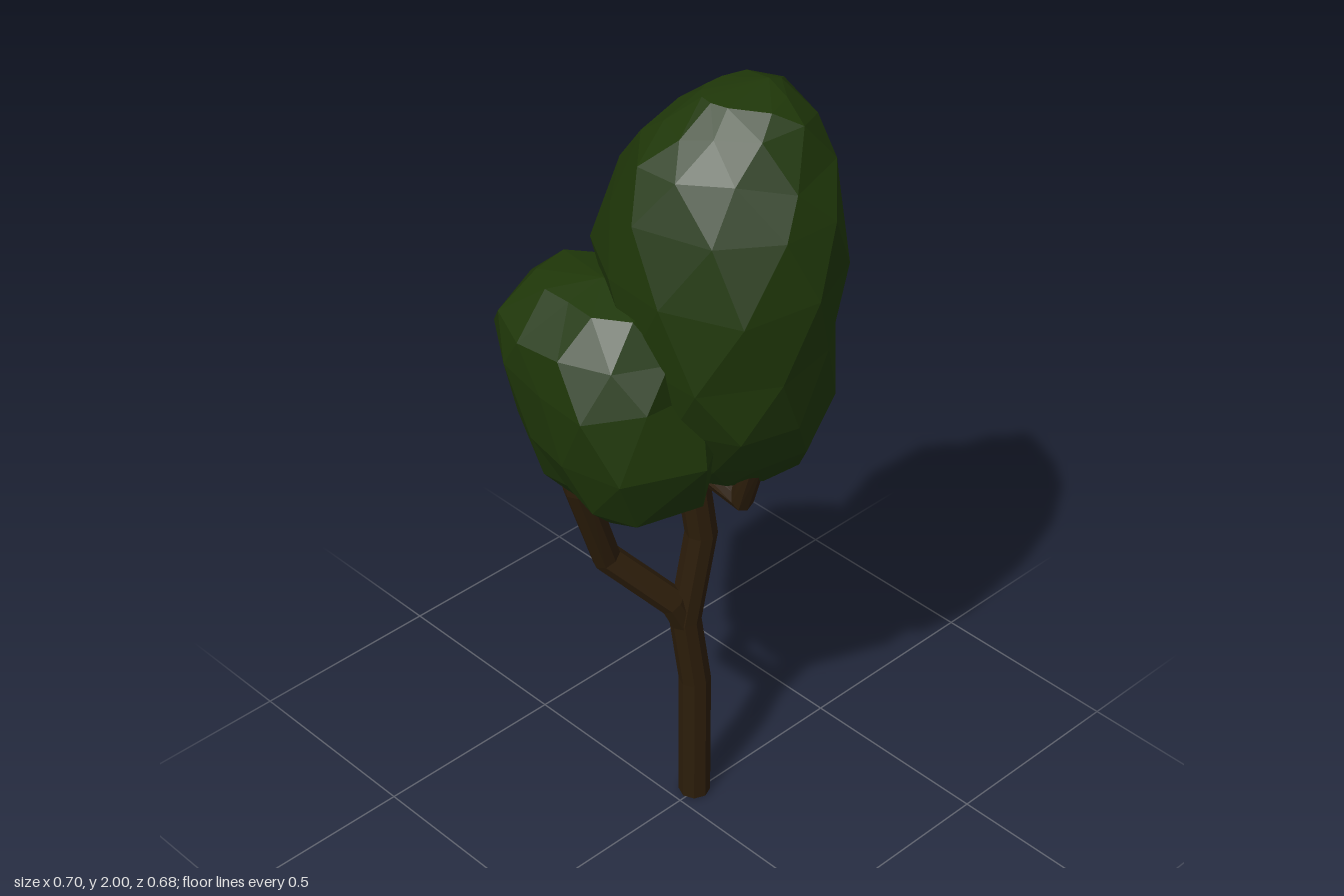
import * as THREE from 'three';

const bark = new THREE.MeshStandardMaterial({ color: 0x2c1d0a });
bark.name = 'bark';
const leaf = new THREE.MeshStandardMaterial({ color: 0x1f3709 });
leaf.name = 'leaf';

// Small seeded generator, returns -1..1
function seeded(seed) {
  let s = seed;
  return () => {
    s = (s * 16807) % 2147483647;
    return (s / 2147483647) * 2 - 1;
  };
}

// Straight-sided path through a few points
class Polyline extends THREE.Curve {
  constructor(points) {
    super();
    this.points = points.map((p) => new THREE.Vector3(...p));
  }
  getPoint(t, target = new THREE.Vector3()) {
    const n = this.points.length - 1;
    const i = Math.min(Math.floor(t * n), n - 1);
    return target.lerpVectors(this.points[i], this.points[i + 1], t * n - i);
  }
  getPointAt(t, target) { return this.getPoint(t, target); }
  getTangentAt(t, target) { return this.getTangent(t, target); }
}

function flat(geometry) {
  const g = geometry.index ? geometry.toNonIndexed() : geometry;
  g.computeVertexNormals();
  return g;
}

function limb(name, points, radius) {
  const geo = new THREE.TubeGeometry(new Polyline(points), points.length - 1, radius, 8, false);
  const mesh = new THREE.Mesh(flat(geo), bark);
  mesh.name = name;
  return mesh;
}

// Faceted leaf mass around an upright axis. Each row is a height and eight radii,
// 45 degrees apart from +x towards +z; bottom and top are the closing points.
function crown(name, [cx, cz], bottom, rows, top, sides, seed) {
  const rand = seeded(seed);
  const rings = rows.map(([y, ...radii], i) => {
    const inner = i > 0 && i < rows.length - 1;
    return Array.from({ length: sides }, (_, j) => {
      const turn = (j + i * 0.5 + rand() * 0.12) / sides + 1;
      const u = turn * 8;
      const k = Math.floor(u);
      const r = THREE.MathUtils.lerp(radii[k % 8], radii[(k + 1) % 8], u - k) * (1.025 + rand() * 0.02);
      const a = turn * Math.PI * 2;
      return [cx + r * Math.cos(a), y + (inner ? rand() * 0.02 : 0), cz + r * Math.sin(a)];
    });
  });
  const pos = [];
  const last = rings.length - 1;
  for (let j = 0; j < sides; j++) {
    const k = (j + 1) % sides;
    pos.push(...bottom, ...rings[0][j], ...rings[0][k]);
    for (let i = 0; i < last; i++) {
      const a = rings[i][j], b = rings[i][k], c = rings[i + 1][k], d = rings[i + 1][j];
      pos.push(...a, ...d, ...b, ...b, ...d, ...c);
    }
    pos.push(...top, ...rings[last][k], ...rings[last][j]);
  }
  const geo = new THREE.BufferGeometry();
  geo.setAttribute('position', new THREE.Float32BufferAttribute(pos, 3));
  const mesh = new THREE.Mesh(flat(geo), leaf);
  mesh.name = name;
  return mesh;
}

export function createModel() {
  const tree = new THREE.Group();
  tree.name = 'tree';

  // Trunk with two bends, and its base cap
  tree.add(limb('trunk', [
    [-0.008, 0, -0.057], [-0.008, 0.36, -0.057], [-0.02, 0.55, -0.036],
    [0, 0.8, -0.068], [-0.012, 1.0, -0.045], [-0.01, 1.25, -0.04],
  ], 0.039));
  const base = new THREE.Mesh(new THREE.CircleGeometry(0.039, 8), bark);
  base.rotation.x = Math.PI / 2;
  base.position.set(-0.008, 0.001, -0.057);
  base.name = 'trunkBase';
  tree.add(base);

  // Branches
  tree.add(limb('frontBranch', [
    [-0.018, 0.53, -0.04], [-0.03, 0.61, -0.005], [-0.13, 0.75, 0.112],
    [-0.122, 1.0, 0.2], [-0.12, 1.12, 0.21],
  ], 0.036));
  tree.add(limb('sideBranch', [
    [-0.01, 1.02, -0.045], [0.16, 1.0, -0.04], [0.195, 1.14, -0.04],
  ], 0.033));

  // Leaves
  tree.add(crown('tallCrown', [0.07, -0.06], [0.07, 1.04, -0.08], [
    [1.05, 0.12, 0.1, 0.1, 0.11, 0.11, 0.1, 0.14, 0.18],
    [1.13, 0.2, 0.16, 0.16, 0.16, 0.16, 0.19, 0.21, 0.24],
    [1.25, 0.24, 0.25, 0.21, 0.2, 0.18, 0.215, 0.29, 0.245],
    [1.42, 0.26, 0.275, 0.255, 0.22, 0.2, 0.205, 0.225, 0.255],
    [1.6, 0.28, 0.28, 0.26, 0.29, 0.27, 0.24, 0.225, 0.262],
    [1.76, 0.265, 0.23, 0.245, 0.23, 0.25, 0.21, 0.21, 0.262],
    [1.86, 0.23, 0.165, 0.205, 0.18, 0.16, 0.155, 0.215, 0.24],
    [1.94, 0.18, 0.11, 0.13, 0.12, 0.1, 0.12, 0.18, 0.19],
    [1.985, 0.13, 0.06, 0.05, 0.05, 0.05, 0.07, 0.13, 0.13],
  ], [0.11, 2, -0.15], 10, 71));
  tree.add(crown('lowCrown', [-0.08, 0.16], [-0.03, 0.96, 0.13], [
    [0.975, 0.12, 0.09, 0.04, 0.06, 0.07, 0.09, 0.1, 0.13],
    [1.05, 0.24, 0.17, 0.11, 0.14, 0.13, 0.19, 0.16, 0.25],
    [1.2, 0.32, 0.235, 0.15, 0.185, 0.22, 0.2, 0.17, 0.26],
    [1.35, 0.27, 0.24, 0.18, 0.225, 0.285, 0.2, 0.17, 0.2],
    [1.45, 0.22, 0.2, 0.165, 0.215, 0.25, 0.19, 0.17, 0.18],
    [1.54, 0.18, 0.13, 0.09, 0.12, 0.18, 0.13, 0.11, 0.1],
  ], [-0.07, 1.565, 0.16], 10, 2024));

  return tree;
}
